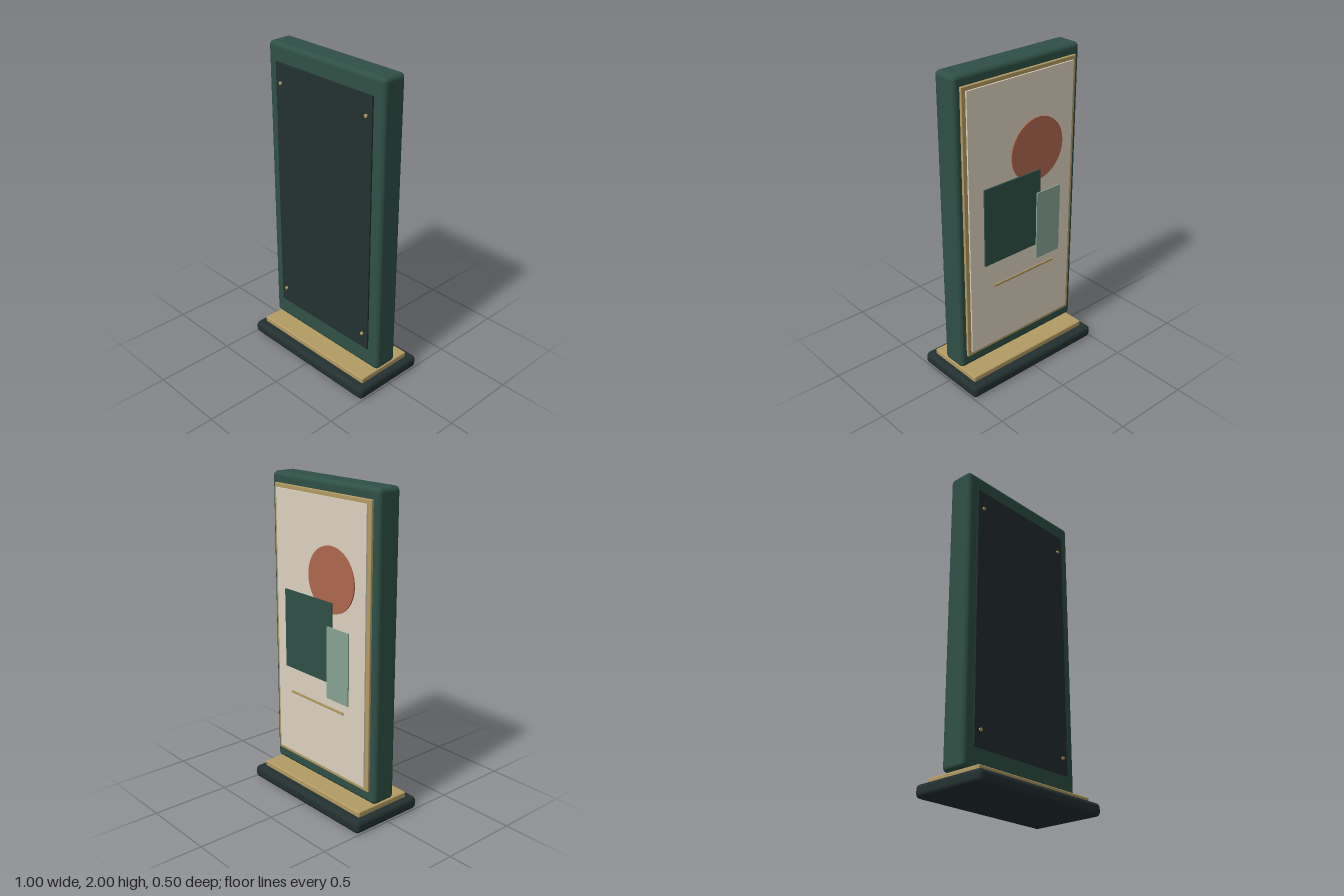
import * as THREE from 'three';
import { RoundedBoxGeometry } from 'three/addons/geometries/RoundedBoxGeometry.js';

const paint = (name, color) => {
  const m = new THREE.MeshStandardMaterial({ color });
  m.name = name;
  return m;
};

export function createModel() {
  const group = new THREE.Group();
  group.name = 'displayTotem';
  const green = paint('deep green', 0x2f5046);
  const charcoal = paint('charcoal', 0x243031);
  const brass = paint('brass', 0xb39b63);
  const cream = paint('cream', 0xded2c0);
  const terracotta = paint('terracotta', 0xb0674e);
  const sage = paint('sage', 0x87a493);

  const add = (name, geometry, material, x, y, z) => {
    const mesh = new THREE.Mesh(geometry, material);
    mesh.name = name;
    mesh.position.set(x, y, z);
    group.add(mesh);
    return mesh;
  };
  // Box given by its minimum and maximum corners; radius 0 keeps sharp edges
  const block = (name, material, [x0, y0, z0], [x1, y1, z1], radius = 0) => {
    const size = [x1 - x0, y1 - y0, z1 - z0];
    const geometry = radius
      ? new RoundedBoxGeometry(...size, 4, radius)
      : new THREE.BoxGeometry(...size);
    return add(name, geometry, material, (x0 + x1) / 2, (y0 + y1) / 2, (z0 + z1) / 2);
  };

  // Stand and upright body
  block('base', charcoal, [-0.5, 0, -0.25], [0.5, 0.08, 0.25], 0.028);
  block('basePlate', brass, [-0.455, 0.075, -0.195], [0.455, 0.114, 0.195], 0.008);
  block('body', green, [-0.465, 0.118, -0.082], [0.465, 2, 0.082], 0.028);

  // Service panel on the front with four corner screws
  block('servicePanel', charcoal, [-0.39, 0.25, 0.075], [0.39, 1.89, 0.092]);
  const screw = new THREE.CylinderGeometry(0.01, 0.01, 0.012, 16).rotateX(Math.PI / 2);
  for (const x of [-0.347, 0.347])
    for (const y of [0.35, 1.77]) add('screw', screw, brass, x, y, 0.096);

  // Framed poster on the back
  block('posterFrame', brass, [-0.423, 0.198, -0.097], [0.423, 1.936, -0.075], 0.004);
  block('posterSheet', cream, [-0.396, 0.225, -0.107], [0.396, 1.911, -0.09]);

  // Layered poster shapes
  const disc = new THREE.CylinderGeometry(0.199, 0.199, 0.008, 64).rotateX(Math.PI / 2);
  add('posterDisc', disc, terracotta, -0.112, 1.44, -0.114);
  block('posterSquare', green, [-0.13, 0.81, -0.127], [0.3, 1.308, -0.118]);
  block('posterPanel', sage, [-0.285, 0.715, -0.136], [-0.098, 1.163, -0.128]);
  block('posterLine', brass, [-0.24, 0.647, -0.135], [0.24, 0.661, -0.128]);

  return group;
}
